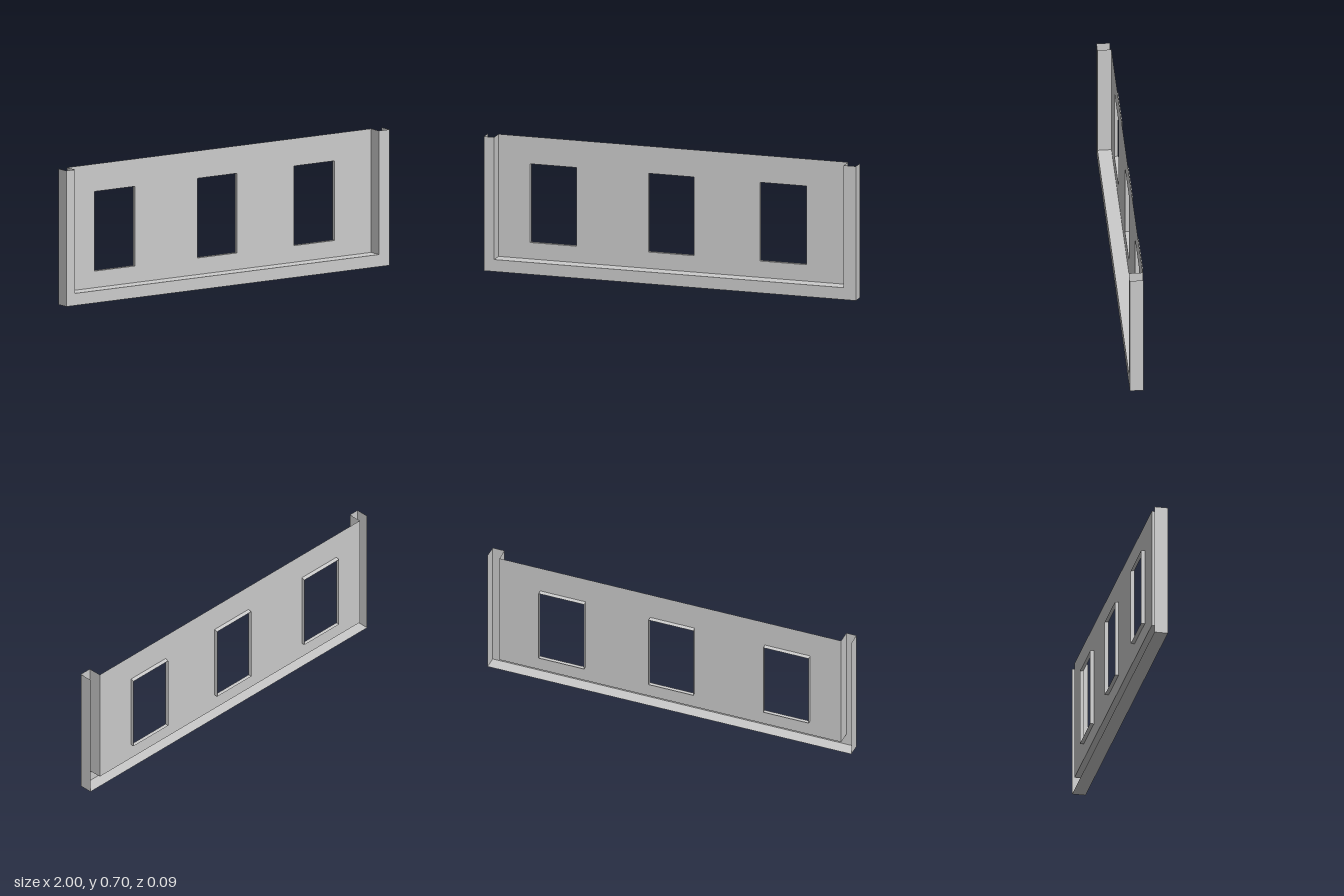
import * as THREE from 'three';

const material = new THREE.MeshStandardMaterial({ color: 0xcccccc, side: THREE.DoubleSide, flatShading: true });

const TOP = 0.705, SILL = 0.063;
const LEFT = -0.945, RIGHT = 0.935;
const FRONT = 0.047, BACK = -0.023, PANEL = -0.025, RIM = -0.045;

// Sheet-metal outlines: open at the top
const outerPath = [[-1, TOP], [-1, 0], [1, 0], [1, TOP]];
const innerPath = [[LEFT, TOP], [LEFT, SILL], [RIGHT, SILL], [RIGHT, TOP]];

const toPoints = (path) => path.map(([x, y]) => new THREE.Vector2(x, y));

// Flat sheet facing z, with optional cut-outs
function sheet(name, path, z, holes = []) {
  const shape = new THREE.Shape(toPoints(path));
  for (const hole of holes) shape.holes.push(new THREE.Path(toPoints(hole)));
  const mesh = new THREE.Mesh(new THREE.ShapeGeometry(shape), material);
  mesh.name = name;
  mesh.position.z = z;
  return mesh;
}

// Thin wall joining one path at z0 to a matching path at z1
function wall(name, path0, z0, path1, z1) {
  const pos = [];
  for (let i = 0; i < path0.length - 1; i++) {
    const a = [...path0[i], z0], b = [...path0[i + 1], z0];
    const c = [...path1[i + 1], z1], d = [...path1[i], z1];
    pos.push(...a, ...b, ...c, ...a, ...c, ...d);
  }
  const geometry = new THREE.BufferGeometry();
  geometry.setAttribute('position', new THREE.Float32BufferAttribute(pos, 3));
  geometry.computeVertexNormals();
  const mesh = new THREE.Mesh(geometry, material);
  mesh.name = name;
  return mesh;
}

const rect = (x0, x1, y0, y1) => [[x0, y0], [x1, y0], [x1, y1], [x0, y1]];

export function createModel() {
  const model = new THREE.Group();
  model.name = 'windowPanel';

  // Recessed panel with three openings
  const spans = [[-0.775, -0.525], [-0.14, 0.106], [0.46, 0.71]];
  const openings = spans.map(([x0, x1]) => rect(x0, x1, 0.149, 0.562));
  model.add(sheet('panel', rect(LEFT, RIGHT, SILL, TOP), PANEL, openings));

  // Raised frame: front face, outer sides and inner reveal
  model.add(sheet('frameFace', [...outerPath, ...[...innerPath].reverse()], FRONT));
  model.add(wall('frameOuterWall', outerPath, FRONT, outerPath, BACK));
  model.add(wall('frameReveal', innerPath, FRONT, innerPath, PANEL));

  // Window rims folded to the back, the head sloping slightly down
  spans.forEach(([x0, x1], i) => {
    const rim = rect(x0, x1, 0.149, 0.558);
    const close = (p) => [...p, p[0]];
    model.add(wall(`windowRim${i + 1}`, close(openings[i]), PANEL, close(rim), RIM));
  });

  return model;
}
